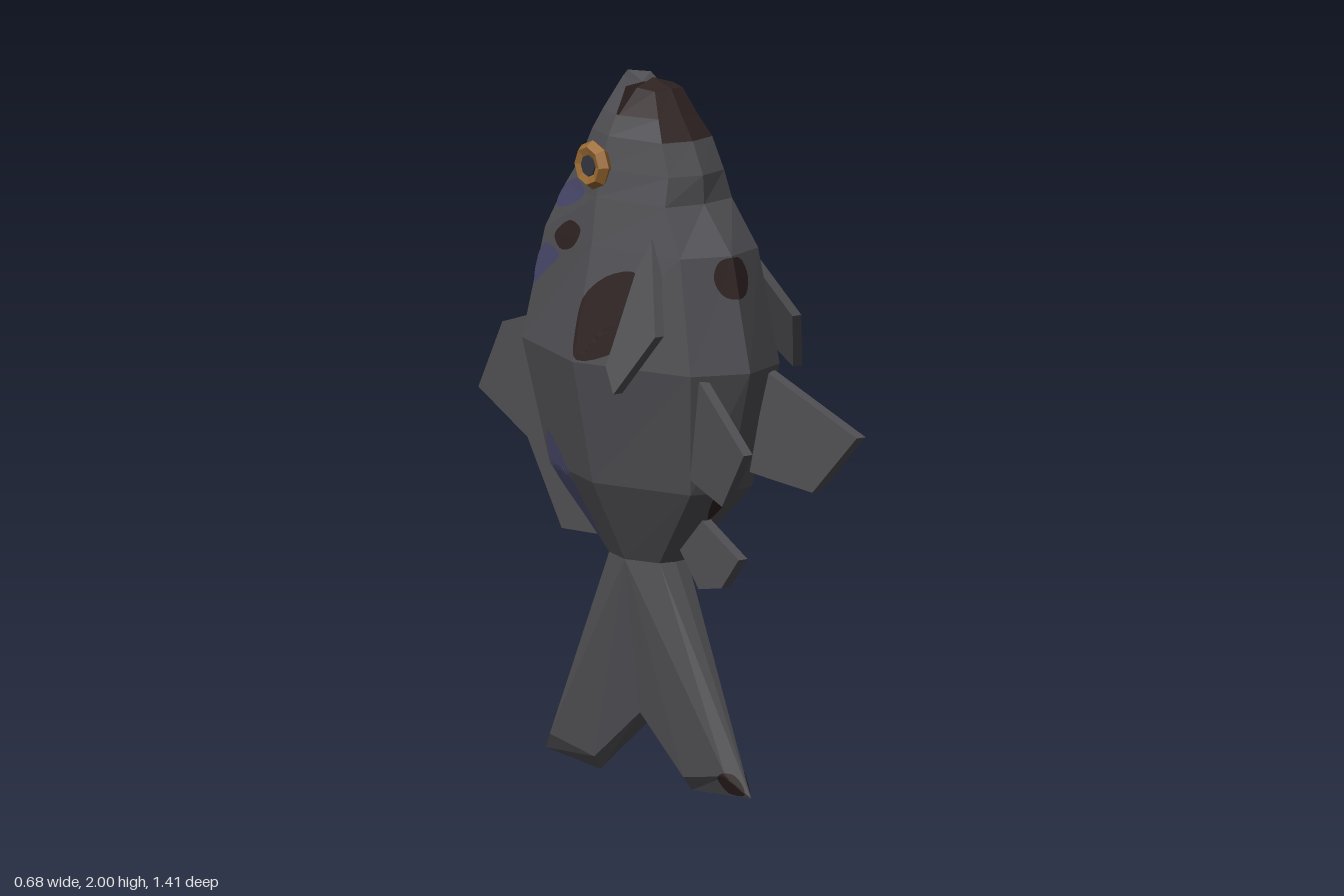
import * as THREE from 'three';

const mat = (name, color, side = THREE.FrontSide) => {
  const m = new THREE.MeshStandardMaterial({ color, side });
  m.name = name;
  return m;
};

export function createModel() {
  const fish = new THREE.Group();
  fish.name = 'fish';
  const grey = mat('scaleGrey', 0x505054, THREE.DoubleSide);
  const violet = mat('backViolet', 0x48486a, THREE.DoubleSide);
  const brown = mat('spotBrown', 0x2f2322, THREE.DoubleSide);
  const red = mat('snoutRed', 0x682f38);
  const amber = mat('eyeAmber', 0x9a6a32);
  const pupilMat = mat('pupilSlate', 0x34343e);
  const palette = [grey, violet, brown, red];
  const [GREY, VIOLET, BROWN, RED] = [0, 1, 2, 3];

  const add = (name, geometry, material) => {
    const mesh = new THREE.Mesh(geometry, material);
    mesh.name = name;
    fish.add(mesh);
    return mesh;
  };

  // Collects flat triangles by palette index and turns them into one mesh
  const builder = () => {
    const lists = palette.map(() => []);
    return {
      tri: (c, ...pts) => pts.forEach((p) => lists[c].push(...p)),
      mesh(name) {
        const g = new THREE.BufferGeometry();
        let start = 0;
        lists.forEach((l, i) => {
          if (l.length) g.addGroup(start, l.length / 3, i);
          start += l.length / 3;
        });
        g.setAttribute('position', new THREE.Float32BufferAttribute(lists.flat(), 3));
        g.computeVertexNormals();
        return add(name, g, palette);
      },
    };
  };

  // Lofts mirrored half profiles from bottom to top and caps the last one
  const loft = (name, halves, colourOf, capColour) => {
    const b = builder();
    const rings = halves.map((h) => [...h, ...h.slice(1, -1).reverse().map(([x, y, z]) => [-x, y, z])]);
    const n = rings[0].length;
    for (let i = 0; i + 1 < rings.length; i++) {
      for (let j = 0; j < n; j++) {
        const k = (j + 1) % n, lo = rings[i], hi = rings[i + 1];
        const c = colourOf(i, Math.min(j, n - 1 - j));
        b.tri(c, lo[j], lo[k], hi[k], lo[j], hi[k], hi[j]);
      }
    }
    const top = rings.at(-1);
    for (let j = 1; j + 1 < n; j++) b.tri(capColour, top[0], top[j], top[j + 1]);
    return b.mesh(name);
  };

  // Body rings: y, belly z, belly edge x z, flank x z, back edge x z, back z
  const body = loft('body', [
    [0.64, 0.14, 0.05, 0.13, 0.085, 0.02, 0.05, -0.09, -0.10],
    [0.87, 0.37, 0.11, 0.34, 0.20, 0.02, 0.10, -0.29, -0.335],
    [1.22, 0.467, 0.16, 0.40, 0.272, 0.02, 0.15, -0.35, -0.415],
    [1.54, 0.385, 0.14, 0.33, 0.195, 0.01, 0.125, -0.28, -0.325],
    [1.67, 0.265, 0.12, 0.24, 0.17, 0.00, 0.11, -0.21, -0.265],
    [1.75, 0.26, 0.10, 0.23, 0.155, 0.00, 0.10, -0.155, -0.22],
    [1.84, 0.215, 0.09, 0.19, 0.135, 0.01, 0.095, -0.11, -0.17],
    [1.90, 0.17, 0.07, 0.15, 0.115, 0.02, 0.08, -0.08, -0.135],
  ].map(([y, f, bx, bz, mx, mz, dx, dz, d]) =>
    [[0, y, f], [bx, y, bz], [mx, y, mz], [dx, y, dz], [0, y, d]]),
  (i, strip) => {
    if (strip === 3) return i < 5 ? VIOLET : i === 5 ? BROWN : RED;
    return i === 6 && strip === 0 ? BROWN : GREY;
  }, BROWN);

  // Open mouth: lower jaw and upper snout
  loft('lowerJaw', [
    [[0, 1.90, 0.17], [0.07, 1.90, 0.15], [0.115, 1.90, 0.03], [0, 1.90, 0.03]],
    [[0, 1.975, 0.12], [0.05, 1.97, 0.11], [0.065, 1.975, 0.05], [0, 1.995, 0.04]],
  ], () => BROWN, BROWN);
  loft('snout', [
    [[0, 1.90, 0.02], [0.115, 1.90, 0.02], [0.08, 1.90, -0.08], [0, 1.90, -0.135]],
    [[0, 1.975, -0.005], [0.06, 1.97, -0.005], [0.05, 1.995, -0.03], [0, 2.0, -0.07]],
  ], (i, strip) => [BROWN, GREY, RED][strip], GREY);

  // Forked tail: a ridge outline with a bevel up to an inset panel on each side
  const ridge = [[0.14, 0.64], [0.47, 0.02], [0.21, 0.005], [0.02, 0.17], [-0.19, 0.005], [-0.43, 0.03], [-0.10, 0.64]];
  const inset = [[0.13, 0.64], [0.395, 0.075], [0.21, 0.045], [0.02, 0.20], [-0.18, 0.045], [-0.375, 0.08], [-0.09, 0.64]];
  const tb = builder();
  for (const s of [1, -1]) {
    const O = ridge.map(([z, y]) => [0, y, z]);
    const I = inset.map(([z, y]) => [s * (y > 0.6 ? 0.05 : 0.03), y, z]);
    const mid = [s * 0.085, 0.64, 0.02];
    const face = (c, p, q, r) => (s > 0 ? tb.tri(c, p, r, q) : tb.tri(c, p, q, r));
    for (let i = 0; i < 6; i++) {
      const c = i === 5 ? VIOLET : GREY;
      face(GREY, mid, I[i], I[i + 1]);
      face(c, I[i], O[i], O[i + 1]);
      face(c, I[i], O[i + 1], I[i + 1]);
    }
  }
  const tail = tb.mesh('tail');

  // Fins: side outline [z, y] given a thickness and slanted outward by a rule
  const fin = (name, outline, slant = () => 0, t = 0.032) => {
    const shape = new THREE.Shape(outline.map(([z, y]) => new THREE.Vector2(-z, y)));
    const g = new THREE.ExtrudeGeometry(shape, { depth: t, bevelEnabled: false });
    g.translate(0, 0, -t / 2).rotateY(Math.PI / 2);
    const p = g.attributes.position;
    for (let i = 0; i < p.count; i++) p.setX(i, p.getX(i) + slant(p.getY(i), p.getZ(i)));
    g.computeVertexNormals();
    add(name, g, grey);
  };
  fin('dorsalFin', [[-0.36, 1.28], [-0.41, 1.27], [-0.60, 1.21], [-0.705, 1.01], [-0.49, 0.90],
    [-0.34, 0.665], [-0.12, 0.675], [-0.28, 0.87]]);
  fin('analFin', [[0.24, 0.80], [0.28, 0.775], [0.435, 0.69], [0.36, 0.60], [0.26, 0.582], [0.17, 0.69]]);
  for (const s of [1, -1]) {
    const side = s > 0 ? 'left' : 'right';
    fin(side + 'PelvicFin', [[0.36, 1.19], [0.41, 1.205], [0.705, 1.05], [0.56, 0.88], [0.41, 0.905], [0.33, 0.92]],
      (y, z) => s * (0.12 + 0.28 * (z - 0.41)));
    fin(side + 'PectoralFin', [[0.20, 1.50], [0.22, 1.58], [0.37, 1.34], [0.28, 1.175], [0.21, 1.24]],
      (y) => s * (0.15 + 0.46 * (1.55 - y)));

    // Eye: faceted amber rim around a dark pupil
    const rim = new THREE.TorusGeometry(0.046, 0.024, 5, 8).toNonIndexed();
    rim.computeVertexNormals();
    const eye = add(side + 'EyeRim', rim, amber);
    eye.rotation.y = s * Math.PI / 2;
    eye.position.set(s * 0.166, 1.758, -0.02);
    const disc = new THREE.CylinderGeometry(0.03, 0.044, 0.05, 8).toNonIndexed();
    disc.computeVertexNormals();
    const pupil = add(side + 'Pupil', disc, pupilMat);
    pupil.rotation.z = -s * Math.PI / 2;
    pupil.position.set(s * 0.16, 1.758, -0.02);
  }

  // Painted patch: a rounded outline [u, y] draped over a surface along x or z
  const ray = new THREE.Raycaster();
  const patch = (name, target, outline, material, s) => {
    const curve = new THREE.CatmullRomCurve3(outline.map(([u, y]) => new THREE.Vector3(u, y, 0)), true);
    const edge = curve.getPoints(24);
    const centre = edge.slice(0, 24).reduce((a, p) => a.add(p), new THREE.Vector3()).divideScalar(24);
    const from = s ? new THREE.Vector3(s, 0, 0) : new THREE.Vector3(0, 0, 1);
    const drape = (p) => {
      const o = s ? new THREE.Vector3(s * 2, p.y, p.x) : new THREE.Vector3(p.x, p.y, 2);
      ray.set(o, from.clone().negate());
      const hit = ray.intersectObject(target)[0];
      return hit ? hit.point.addScaledVector(from, 0.005) : null;
    };
    const rows = 7, pos = [];
    const grid = Array.from({ length: rows + 1 }, (_, r) =>
      edge.map((p) => drape(centre.clone().lerp(p, Math.max(r, 0.01) / rows))));
    const tri = (...t) => {
      if (!t.every(Boolean)) return;
      if (s < 0) t.reverse();
      t.forEach((p) => pos.push(p.x, p.y, p.z));
    };
    // Side outlines run clockwise when seen from +x, front ones anticlockwise from +z
    const area = edge.reduce((a, p, i) => {
      const q = edge[(i + 1) % edge.length];
      return a + p.x * q.y - q.x * p.y;
    }, 0);
    const flip = (area > 0) === (s !== 0);
    for (let r = 0; r < rows; r++) {
      for (let j = 0; j < 24; j++) {
        const [a, b, c, d] = [grid[r][j], grid[r + 1][j], grid[r + 1][j + 1], grid[r][j + 1]];
        if (flip) { tri(a, c, b); tri(a, d, c); } else { tri(a, b, c); tri(a, c, d); }
      }
    }
    const g = new THREE.BufferGeometry();
    g.setAttribute('position', new THREE.Float32BufferAttribute(pos, 3));
    g.computeVertexNormals();
    add(name, g, material);
  };
  for (const s of [1, -1]) {
    patch('flankSpot', body, [[0.20, 1.48], [0.10, 1.47], [0.02, 1.40], [0.01, 1.30], [0.03, 1.23], [0.13, 1.25], [0.21, 1.31]], brown, s);
    patch('cheekSpot', body, [[-0.06, 1.57], [-0.13, 1.585], [-0.21, 1.53], [-0.17, 1.50], [-0.09, 1.52]], brown, s);
    patch('headTint', body, [[-0.07, 1.67], [-0.14, 1.70], [-0.21, 1.66], [-0.23, 1.61], [-0.13, 1.63]], violet, s);
    patch('shoulderTint', body, [[-0.17, 1.48], [-0.26, 1.50], [-0.30, 1.45], [-0.30, 1.38], [-0.25, 1.42]], violet, s);
    patch('rumpTint', body, [[-0.10, 0.72], [-0.15, 0.88], [-0.26, 0.97], [-0.27, 0.87], [-0.15, 0.73], [-0.09, 0.67]], violet, s);
    patch('tailTipSpot', tail, [[0.36, 0.06], [0.38, 0.08], [0.42, 0.08], [0.455, 0.03], [0.38, 0.025]], brown, s);
  }
  patch('bellySpot', body, [[-0.06, 1.48], [-0.035, 1.43], [0.035, 1.43], [0.06, 1.48], [0.035, 1.53], [-0.035, 1.53]], brown, 0);
  patch('ventSpot', body, [[-0.038, 0.88], [0, 0.78], [0.038, 0.88], [0, 0.95]], brown, 0);

  return fish;
}
